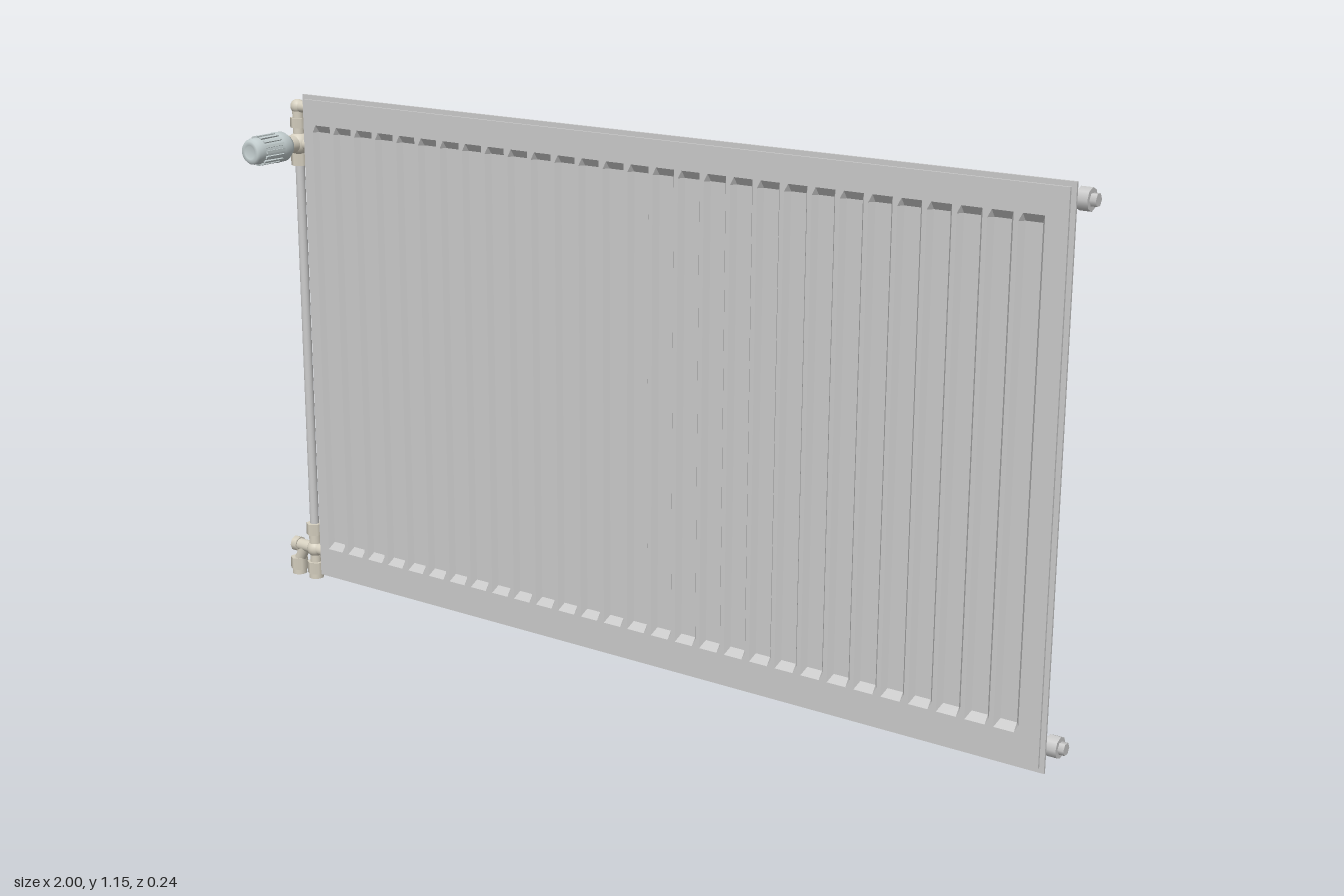
import * as THREE from 'three';

const metal = new THREE.MeshStandardMaterial({ color: 0xcccccc });
const sheet = new THREE.MeshStandardMaterial({ color: 0xcccccc, flatShading: true, side: THREE.DoubleSide });
const finMat = new THREE.MeshStandardMaterial({ color: 0xcfc7c2, flatShading: true, side: THREE.DoubleSide });
const brass = new THREE.MeshStandardMaterial({ color: 0xd6d0c0 });
const headMat = new THREE.MeshStandardMaterial({ color: 0xc4cfd0 });

const CX = 0.06, CY = 0.595;          // panel centre
const PITCH = 0.0608, COUNT = 29;     // flutes
const X0 = -0.833;                    // first flute
const FZ = -0.037;                    // depth of the pipework
const TOP = 1.117, BOTTOM = 0.072;    // connection heights

export function createModel() {
  const root = new THREE.Group();

  const add = (name, geo, mat, parent = root) => {
    const m = new THREE.Mesh(geo, mat);
    m.name = name;
    parent.add(m);
    return m;
  };
  const box = (name, w, h, d, x, y, z, mat = metal, parent = root) => {
    const m = add(name, new THREE.BoxGeometry(w, h, d), mat, parent);
    m.position.set(x, y, z);
    return m;
  };
  // cylinder between two points
  const rod = (name, a, b, r, mat = brass, sides = 20, parent = root) => {
    const p = new THREE.Vector3(...a), q = new THREE.Vector3(...b);
    const dir = q.clone().sub(p);
    const m = add(name, new THREE.CylinderGeometry(r, r, dir.length(), sides), mat, parent);
    m.position.copy(p).add(q).multiplyScalar(0.5);
    m.quaternion.setFromUnitVectors(new THREE.Vector3(0, 1, 0), dir.normalize());
    return m;
  };
  const ball = (name, p, r, mat = brass) => {
    add(name, new THREE.SphereGeometry(r, 20, 12), mat).position.set(...p);
  };
  const rect = (T, x1, y1, x2, y2) => {
    const s = new T();
    s.moveTo(x1, y1); s.lineTo(x2, y1); s.lineTo(x2, y2); s.lineTo(x1, y2); s.closePath();
    return s;
  };

  // front panel: flat frame around a field of recessed flutes
  const fx1 = X0 + 0.08 * PITCH, fx2 = fx1 + COUNT * PITCH, fy1 = 0.105, fy2 = 1.09;
  const frame = rect(THREE.Shape, CX - 0.91, CY - 0.55, CX + 0.91, CY + 0.55);
  frame.holes.push(rect(THREE.Path, fx1, fy1, fx2, fy2));
  const frameGeo = new THREE.ExtrudeGeometry(frame, { depth: 0.016, bevelEnabled: false });
  frameGeo.translate(0, 0, 0.002);
  add('panelFrame', frameGeo, metal);

  const field = new THREE.PlaneGeometry(1, 1, COUNT * 4, 3);
  const pos = field.attributes.position, cols = COUNT * 4 + 1;
  const across = [0.08, 0.22, 0.78, 0.92], rows = [fy2, fy2 - 0.016, fy1 + 0.016, fy1];
  for (let i = 0; i < pos.count; i++) {
    const c = i % cols, r = Math.floor(i / cols), j = c % 4;
    const sunk = (j === 1 || j === 2) && (r === 1 || r === 2);
    pos.setXYZ(i, X0 + (Math.floor(c / 4) + across[j]) * PITCH, rows[r], sunk ? 0.006 : 0.018);
  }
  add('flutedFace', field, sheet);
  box('panelBack', 1.82, 1.10, 0.004, CX, CY, 0.002);

  // thin seam flange round the panel
  const seam = rect(THREE.Shape, CX - 0.92, CY - 0.56, CX + 0.92, CY + 0.56);
  seam.holes.push(rect(THREE.Path, CX - 0.905, CY - 0.545, CX + 0.905, CY + 0.545));
  const seamGeo = new THREE.ExtrudeGeometry(seam, { depth: 0.005, bevelEnabled: false });
  seamGeo.translate(0, 0, 0.008);
  add('seamFlange', seamGeo, metal);

  // convector: one folded sheet swept vertically
  const path = [];
  for (let k = 0; k < COUNT; k++) {
    for (const [u, z] of [[0, -0.001], [0.25, -0.001], [0.38, -0.055], [0.62, -0.055], [0.75, -0.001]])
      path.push([X0 + (k + u) * PITCH, z]);
  }
  path.push([X0 + COUNT * PITCH, -0.001]);
  const fins = new THREE.PlaneGeometry(1, 1, path.length - 1, 1);
  const fp = fins.attributes.position;
  for (let i = 0; i < fp.count; i++) {
    const [x, z] = path[i % path.length];
    fp.setXYZ(i, x, i < path.length ? 1.078 : 0.112, z);
  }
  add('convectorFins', fins, finMat);

  // wall brackets, mirrored about the panel centre
  const web = new THREE.Shape([
    [0.118, 0.11], [0.118, 0.97], [0.065, 0.97], [0.058, 0.96], [0.058, 0.91], [0.066, 0.91],
    [0.066, 0.89], [0.07, 0.89], [0.07, 0.86], [0.083, 0.86], [0.083, 0.83], [0.056, 0.83],
    [0.056, 0.255], [0.083, 0.255], [0.083, 0.225], [0.07, 0.225], [0.07, 0.195], [0.062, 0.185],
    [0.062, 0.125], [0.065, 0.11],
  ].map(([a, b]) => new THREE.Vector2(a, b)));
  const lug = new THREE.Shape([
    [-0.075, 0.054], [-0.05, 0.062], [0.05, 0.062], [0.075, 0.054],
    [0.075, 0.056], [0.05, 0.065], [-0.05, 0.065], [-0.075, 0.056],
  ].map(([a, b]) => new THREE.Vector2(a, b)));
  for (const s of [-1, 1]) {
    const g = new THREE.Group();
    g.name = s < 0 ? 'rightBracket' : 'leftBracket';
    g.position.x = CX;
    root.add(g);
    const webGeo = new THREE.ExtrudeGeometry(web, { depth: 0.003, bevelEnabled: false });
    webGeo.rotateY(Math.PI / 2);
    add('bracketWeb', webGeo, sheet, g).position.x = s * 0.765 - 0.0015;
    box('bracketFlange', 0.056, 0.86, 0.003, s * 0.738, 0.54, -0.1165, metal, g);
    for (const y of [0.962, 0.19]) {
      const lugGeo = new THREE.ExtrudeGeometry(lug, { depth: 0.045, bevelEnabled: false });
      lugGeo.rotateX(-Math.PI / 2);
      add('bracketLug', lugGeo, sheet, g).position.set(s * 0.738, y, 0);
    }
    // hook joining the upper lug to the web
    box('bracketHook', 0.003, 0.06, 0.012, s * 0.765, 0.975, -0.062, metal, g);
  }

  // corner sockets and plugs
  for (const y of [TOP, BOTTOM]) {
    rod('rightSocket', [-0.8, y, 0.002], [-0.8, y, -0.06], 0.021, metal);
    rod('rightSpigot', [-0.8, y, FZ], [-0.87, y, FZ], 0.016, metal);
    rod('leftSocket', [0.92, y, 0.002], [0.92, y, -0.06], 0.021, metal);
    rod('leftSpigot', [0.92, y, FZ], [0.978, y, FZ], 0.016, metal);
    rod('leftPlug', [0.965, y, FZ], [0.988, y, FZ], 0.022, metal, 8);
    rod('plugTip', [0.988, y, FZ], [1.0, y, FZ], 0.013, metal, 6);
    rod('unionNut', [-0.885, y, FZ], [-0.855, y, FZ], 0.019, brass, 6);
  }

  // riser pipe and top valve
  const px = -0.924, vy = 1.034;
  rod('riserPipe', [px, 0.1, FZ], [px, 1.01, FZ], 0.0105, metal);
  rod('topArm', [-0.87, TOP, FZ], [px, TOP, FZ], 0.013);
  ball('topElbow', [px, TOP, FZ], 0.0165);
  rod('topDrop', [px, TOP, FZ], [px, vy, FZ], 0.013);
  rod('topNut', [px, 1.07, FZ], [px, 1.092, FZ], 0.019, brass, 6);
  ball('valveBody', [px, vy, FZ], 0.026);
  rod('valveSideStub', [px - 0.035, vy, FZ], [px + 0.035, vy, FZ], 0.014);
  rod('valveLowerNut', [px, 0.985, FZ], [px, 1.012, FZ], 0.02, brass, 6);
  rod('valveStem', [px, vy, FZ], [px, vy, 0.02], 0.019);

  // thermostat head with grip ribs
  const head = new THREE.Group();
  head.name = 'thermostatHead';
  head.position.set(px, vy, 0);
  root.add(head);
  const profile = [[0, 0.004], [0.024, 0.004], [0.033, 0.018], [0.034, 0.04], [0.0305, 0.042],
    [0.029, 0.1], [0.028, 0.112], [0.024, 0.118], [0.015, 0.118], [0.014, 0.115], [0, 0.115]];
  const headGeo = new THREE.LatheGeometry(profile.map(([r, h]) => new THREE.Vector2(r, h)), 32);
  headGeo.rotateX(Math.PI / 2);
  add('headBody', headGeo, headMat, head);
  for (let i = 0; i < 16; i++) {
    const a = (i / 16) * Math.PI * 2;
    const rib = box('gripRib', 0.005, 0.006, 0.056, Math.cos(a) * 0.0305, Math.sin(a) * 0.0305, 0.068, headMat, head);
    rib.rotation.z = a;
  }

  // bottom valve block with two downward outlets
  rod('bottomBody', [-0.87, BOTTOM, FZ], [-0.985, BOTTOM, FZ], 0.014);
  rod('bottomCap', [-0.972, BOTTOM, FZ], [-0.988, BOTTOM, FZ], 0.018, brass, 8);
  ball('bottomTee', [px, BOTTOM, FZ], 0.02);
  rod('riserNeck', [px, BOTTOM, FZ], [px, 0.115, FZ], 0.014);
  rod('riserNut', [px, 0.108, FZ], [px, 0.135, FZ], 0.02, brass, 6);
  for (const x of [px, -0.978]) {
    rod('outletNeck', [x === px ? px : -0.955, BOTTOM, FZ], [x, 0.03, FZ], 0.013);
    rod('outletNut', [x, 0.012, FZ], [x, 0.04, FZ], 0.021, brass, 6);
    rod('outletEnd', [x, 0, FZ], [x, 0.014, FZ], 0.017);
  }
  return root;
}
